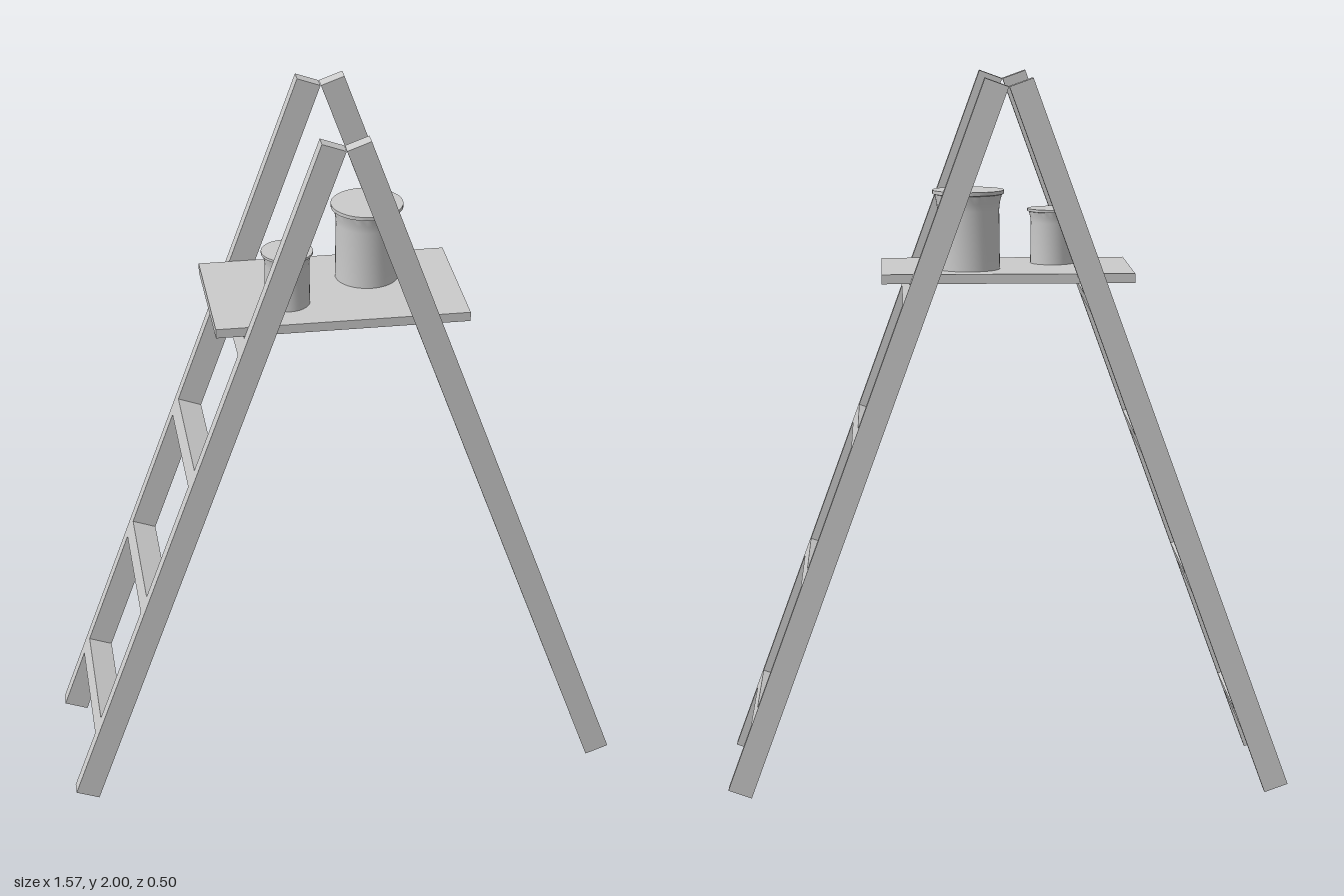
import * as THREE from 'three';
import { toCreasedNormals } from 'three/addons/utils/BufferGeometryUtils.js';

const material = new THREE.MeshStandardMaterial({ color: 0xcccccc });

const TILT = THREE.MathUtils.degToRad(20);
const RAIL_WIDTH = 0.069;

function box(name, w, h, d, x, y, z) {
  const mesh = new THREE.Mesh(new THREE.BoxGeometry(w, h, d), material);
  mesh.name = name;
  mesh.position.set(x, y, z);
  return mesh;
}

// One leaning ladder: two rails and four rungs, built upright and then tilted
function ladder(name, side) {
  const group = new THREE.Group();
  group.name = name;
  for (const z of [-0.23, 0.23]) {
    group.add(box(z > 0 ? 'frontRail' : 'backRail', RAIL_WIDTH, 2.102, 0.04, 0, 0, z));
  }
  for (let i = 0; i < 4; i++) {
    const y = (0.2125 + i * 0.395 - 1) / Math.cos(TILT);
    group.add(box(`rung${i + 1}`, RAIL_WIDTH, 0.053, 0.42, 0, y, 0));
  }
  group.position.set(side * 0.3925, 1, 0);
  group.rotation.z = side * TILT;
  return group;
}

// Closed paint pot with a flared neck and a thin lid rim
function pot(name, x, z, scale) {
  const profile = [
    [0, 0], [0.088, 0], [0.086, 0.165], [0.088, 0.185], [0.094, 0.207],
    [0.1, 0.209], [0.1, 0.219], [0, 0.219],
  ].map(([r, y]) => new THREE.Vector2(r, y));
  const geometry = toCreasedNormals(new THREE.LatheGeometry(profile, 40), Math.PI / 6);
  const mesh = new THREE.Mesh(geometry, material);
  mesh.name = name;
  mesh.position.set(x, 1.465, z);
  mesh.scale.setScalar(scale);
  return mesh;
}

export function createModel() {
  const model = new THREE.Group();
  model.name = 'stepladder';
  model.add(ladder('leftLadder', 1), ladder('rightLadder', -1));
  model.add(box('shelf', 0.694, 0.026, 0.416, 0, 1.452, 0));
  model.add(pot('largePot', 0.106, -0.066, 1));
  model.add(pot('smallPot', -0.135, 0.07, 0.705));
  return model;
}
